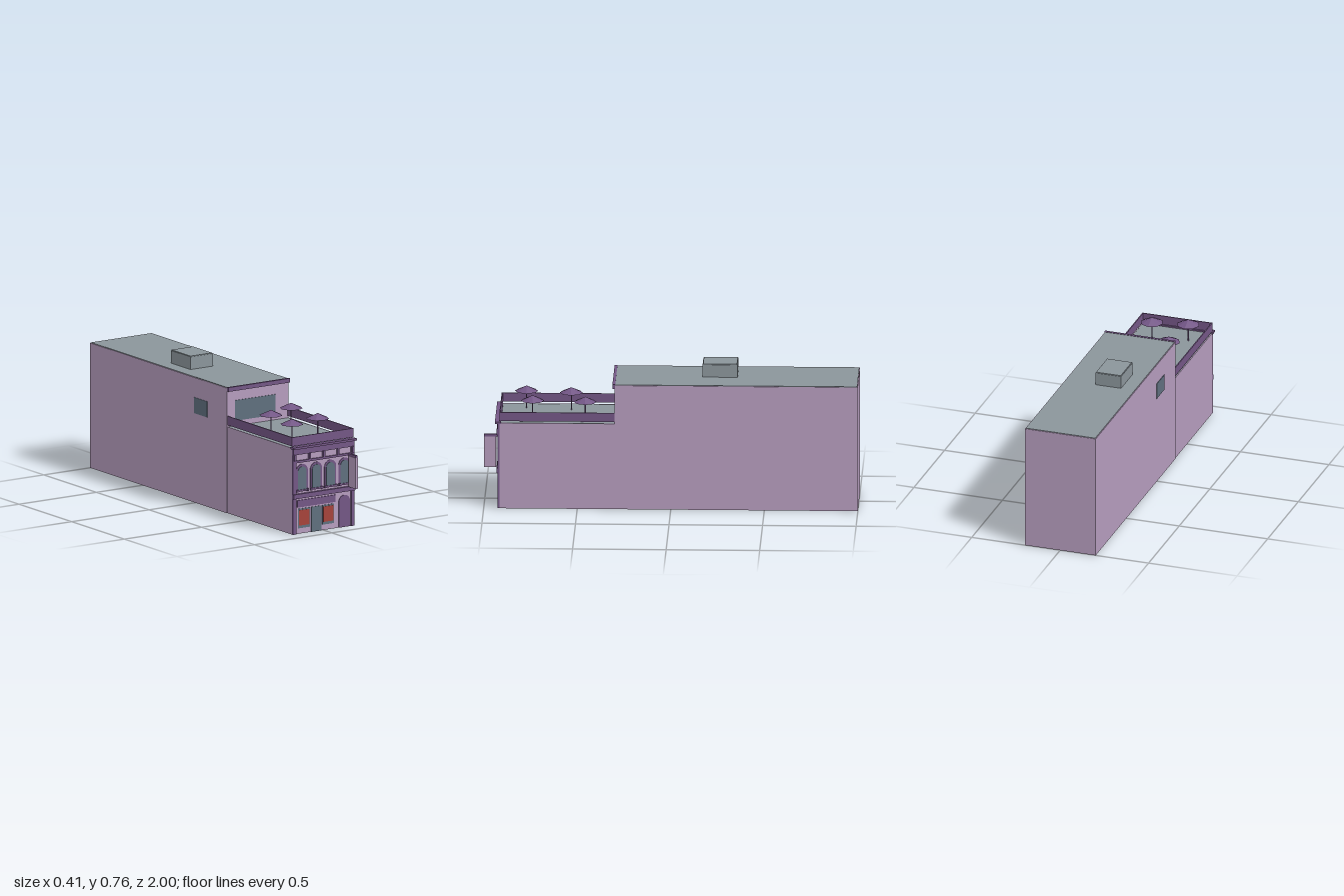
import * as THREE from 'three';

const mat = (name, color) => {
  const m = new THREE.MeshStandardMaterial({ color });
  m.name = name;
  return m;
};

export function createModel() {
  const wall = mat('lilac wall', 0xb59cbd);
  const trim = mat('purple trim', 0x735685);
  const roof = mat('grey roof', 0x8b959b);
  const glass = mat('slate glass', 0x5f6f7e);
  const red = mat('red display', 0xa6423a);
  const canopy = mat('purple canopy', 0x735686);
  canopy.side = THREE.DoubleSide;

  const model = new THREE.Group();
  const add = (name, geometry, material, parent = model) => {
    const mesh = new THREE.Mesh(geometry, material);
    mesh.name = name;
    parent.add(mesh);
    return mesh;
  };
  // Box given by its low and high limits on each axis
  const box = (name, material, x0, x1, y0, y1, z0, z1, parent) => {
    const mesh = add(name, new THREE.BoxGeometry(x1 - x0, y1 - y0, z1 - z0), material, parent);
    mesh.position.set((x0 + x1) / 2, (y0 + y1) / 2, (z0 + z1) / 2);
    return mesh;
  };
  // Round-headed panel standing on y0
  const arch = (name, material, x, half, y0, top, z, depth) => {
    const s = new THREE.Shape();
    s.moveTo(-half, y0);
    s.lineTo(half, y0);
    s.lineTo(half, top - half);
    s.absarc(0, top - half, half, 0, Math.PI, false);
    s.closePath();
    const g = new THREE.ExtrudeGeometry(s, { depth, bevelEnabled: false, curveSegments: 14 });
    add(name, g, material).position.set(x, 0, z);
  };

  const F = 0.918; // street front
  const T = 0.004; // wall thickness

  // Rear block: walls open underneath, with a roof slab
  box('rearWallRight', wall, -0.201, -0.201 + T, 0, 0.685, -1, 0.3);
  box('rearWallLeft', wall, 0.198 - T, 0.198, 0, 0.685, -1, 0.3);
  box('rearWallBack', wall, -0.201 + T, 0.198 - T, 0, 0.685, -1, -1 + T);
  box('rearWallFront', wall, -0.201 + T, 0.198 - T, 0, 0.685, 0.3 - T, 0.3);
  box('rearRoof', roof, -0.197, 0.194, 0.678, 0.688, -0.996, 0.299);
  box('rearCornice', trim, -0.199, 0.199, 0.667, 0.69, 0.297, 0.312);
  box('terraceWindow', glass, -0.15, 0.112, 0.5, 0.612, 0.299, 0.303);
  box('sideWindow', glass, -0.204, -0.2, 0.49, 0.577, -0.01, 0.117);
  box('roofHatch', roof, -0.12, 0.025, 0.685, 0.757, -0.352, -0.165);
  box('roofHatchCap', roof, -0.117, 0.022, 0.757, 0.761, -0.349, -0.168);

  // Front block: walls open underneath, with a terrace floor
  box('frontWallRight', wall, -0.198, -0.198 + T, 0, 0.473, 0.3, F);
  box('frontWallLeft', wall, 0.198 - T, 0.198, 0, 0.473, 0.3, F);
  box('facadeWall', wall, -0.198 + T, 0.198 - T, 0, 0.473, F - T, F);
  box('terraceFloor', roof, -0.194, 0.194, 0.463, 0.472, 0.3, F - T);

  // Parapet raised slightly above the terrace
  for (const s of [-1, 1]) {
    const x = s * 0.195;
    box('parapetSide', trim, x - 0.003, x + 0.003, 0.483, 0.532, 0.3, 0.916);
  }
  box('parapetFront', trim, -0.192, 0.192, 0.483, 0.532, 0.91, 0.916);

  // Facade mouldings
  box('cornice', trim, -0.203, 0.204, 0.468, 0.48, 0.908, 0.94);
  box('frieze', trim, -0.198, 0.198, 0.435, 0.468, F - 0.002, 0.926);
  box('upperBand', trim, -0.178, 0.178, 0.39, 0.402, F - 0.002, 0.926);
  box('lowerBand', trim, -0.199, 0.199, 0.195, 0.22, F - 0.002, 0.932);
  for (const s of [-1, 1]) {
    box('pilaster', trim, s * 0.188 - 0.0105, s * 0.188 + 0.0105, 0, 0.468, F - 0.002, 0.925);
  }
  for (const x of [-0.188, -0.092, 0, 0.092, 0.188]) {
    box('bracket', trim, x - 0.006, x + 0.006, 0.404, 0.437, F - 0.002, 0.932);
  }

  // Arched windows with sills
  for (const x of [-0.138, -0.046, 0.045, 0.137]) {
    arch('windowSurround', trim, x, 0.038, 0.232, 0.38, F - 0.001, 0.004);
    arch('windowPane', glass, x, 0.027, 0.238, 0.367, F, 0.005);
    box('windowSill', trim, x - 0.034, x + 0.034, 0.232, 0.241, F, 0.928);
    for (const s of [-1, 1]) {
      box('sillBlock', trim, x + s * 0.034 - 0.006, x + s * 0.034 + 0.006, 0.23, 0.243, F, 0.93);
    }
  }

  // Shopfront
  box('shopBoard', trim, -0.17, 0.077, 0.145, 0.184, F - 0.001, 0.923);
  box('shopDoor', glass, -0.077, -0.011, 0, 0.137, F - 0.001, 0.921);
  for (const x of [-0.124, 0.032]) {
    box('shopWindow', glass, x - 0.039, x + 0.037, 0.03, 0.137, F - 0.001, 0.921);
    box('shopDisplay', red, x - 0.034, x + 0.032, 0.045, 0.129, F, 0.923);
  }
  arch('sideDoor', trim, 0.136, 0.036, 0, 0.175, F - 0.001, 0.004);

  // Projecting blade panel under its bar
  box('bladePanel', wall, 0.153, 0.17, 0.22, 0.389, 0.934, 1);
  box('bladeBar', trim, 0.155, 0.168, 0.389, 0.402, F, 1);

  // Terrace parasols
  for (const [x, z] of [[-0.08, 0.54], [0.105, 0.46], [-0.108, 0.78], [0.085, 0.742]]) {
    const parasol = new THREE.Group();
    parasol.name = 'parasol';
    parasol.position.set(x, 0, z);
    const top = new THREE.ConeGeometry(0.062, 0.029, 8, 1, true).toNonIndexed();
    top.computeVertexNormals();
    add('parasolCanopy', top, canopy, parasol).position.y = 0.582;
    add('parasolPole', new THREE.CylinderGeometry(0.003, 0.003, 0.118, 8), trim, parasol).position.y = 0.53;
    model.add(parasol);
  }

  return model;
}
